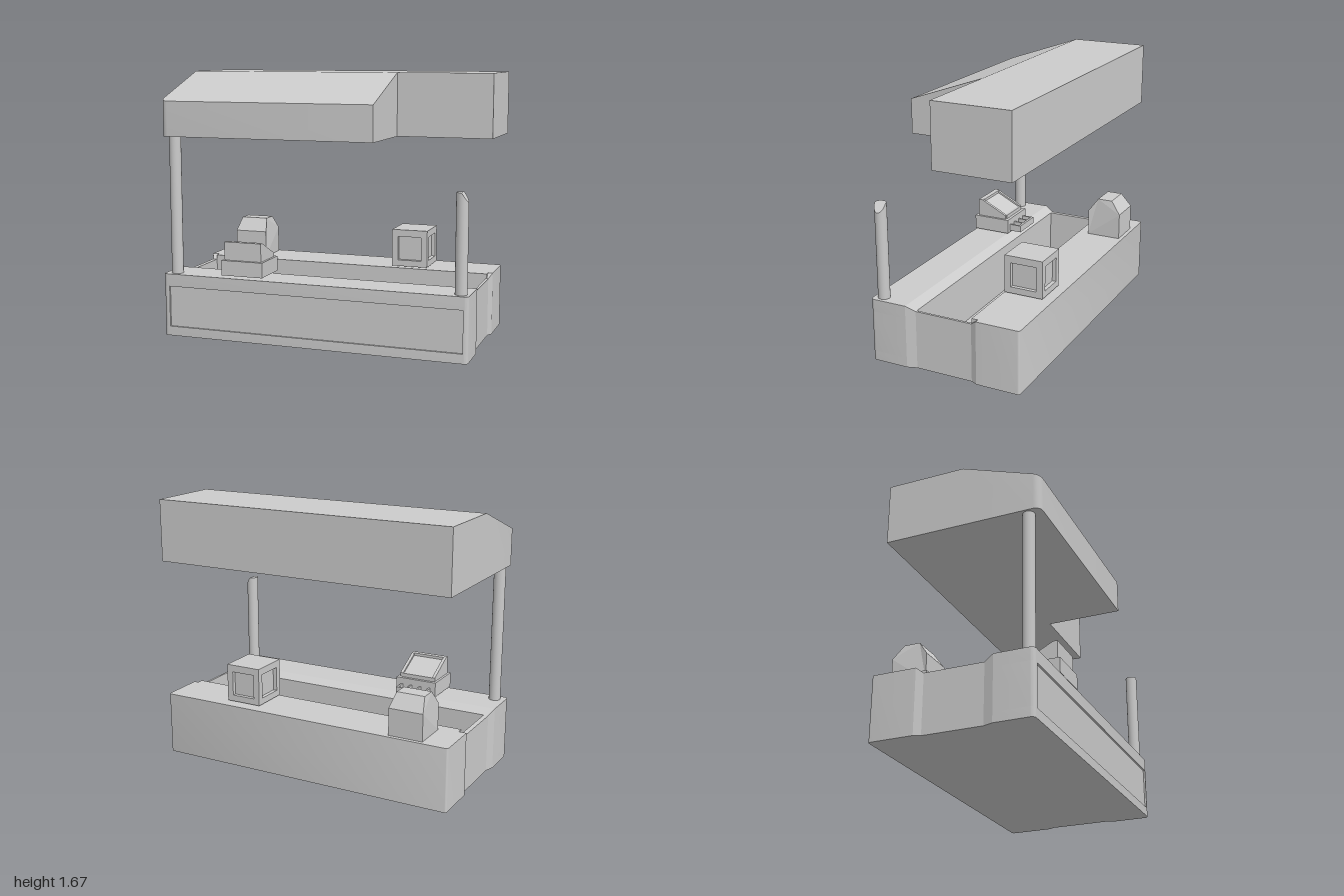
import * as THREE from 'three';
import { toCreasedNormals } from 'three/addons/utils/BufferGeometryUtils.js';

const material = new THREE.MeshStandardMaterial({ color: 0xcccccc });

function add(parent, name, geometry) {
  const mesh = new THREE.Mesh(geometry, material);
  mesh.name = name;
  parent.add(mesh);
  return mesh;
}

// Box given by its limits on each axis
function box(parent, name, x0, x1, y0, y1, z0, z1) {
  const g = new THREE.BoxGeometry(x1 - x0, y1 - y0, z1 - z0);
  g.translate((x0 + x1) / 2, (y0 + y1) / 2, (z0 + z1) / 2);
  return add(parent, name, g);
}

// Plan outline of [x, z] points raised from y0 to y1
function plan(points, y0, y1) {
  const shape = new THREE.Shape(points.map(([x, z]) => new THREE.Vector2(x, -z)));
  const g = new THREE.ExtrudeGeometry(shape, { depth: y1 - y0, bevelEnabled: false });
  return g.rotateX(-Math.PI / 2).translate(0, y0, 0);
}

// Side profile of [z, y] points swept from x0 to x1
function profile(points, x0, x1) {
  const shape = new THREE.Shape(points.map(([z, y]) => new THREE.Vector2(z, y)));
  const g = new THREE.ExtrudeGeometry(shape, { depth: x1 - x0, bevelEnabled: false });
  return g.rotateY(-Math.PI / 2).translate(x1, 0, 0);
}

// Points of a quarter circle, angles in quarter turns
function corner(x, z, r, quarter) {
  return Array.from({ length: 6 }, (_, i) => {
    const a = (quarter + i / 5) * Math.PI / 2;
    return [x + r * Math.cos(a), z + r * Math.sin(a)];
  });
}

// Move every vertex by a rule
function bend(g, rule) {
  const p = g.attributes.position;
  const v = new THREE.Vector3();
  for (let i = 0; i < p.count; i++) {
    v.fromBufferAttribute(p, i);
    rule(v);
    p.setXYZ(i, v.x, v.y, v.z);
  }
  g.computeVertexNormals();
  return g;
}

const smooth = (g) => toCreasedNormals(g, 0.6);

function buildCounter() {
  const counter = new THREE.Group();
  counter.name = 'counter';

  // Front counter in three layers, the middle one with a sunken panel
  const frontPlan = (inset) => [
    [-1, 0.24], [0.97, 0.24], ...corner(0.945, 0.455, 0.025, 0),
    ...(inset ? [[0.94, 0.48], [0.94, 0.468], [-0.96, 0.468], [-0.96, 0.48]] : []),
    ...corner(-0.975, 0.455, 0.025, 1),
  ];
  add(counter, 'frontBottom', smooth(plan(frontPlan(false), 0, 0.06)));
  add(counter, 'frontPanel', smooth(plan(frontPlan(true), 0.06, 0.32)));
  add(counter, 'frontTop', smooth(plan(frontPlan(false), 0.32, 0.4)));

  // Sloped inner edge, narrowing towards the recessed ends
  const narrow = (v) => { if (Math.abs(v.z) < 0.2) v.x += v.x > 0 ? -0.02 : 0.02; };
  add(counter, 'frontSlope', bend(
    profile([[0.24, 0], [0.24, 0.4], [0.18, 0.37], [0.18, 0]], -1, 0.97), narrow));

  // Back counter
  add(counter, 'backCounter', smooth(plan([
    [0.97, -0.23], [-1, -0.23], ...corner(-0.985, -0.495, 0.015, 2), ...corner(0.955, -0.495, 0.015, 3),
  ], 0, 0.4)));
  add(counter, 'backSlope', bend(
    profile([[-0.23, 0], [-0.23, 0.4], [-0.19, 0.37], [-0.19, 0]], -1, 0.97), narrow));
  box(counter, 'backLedge', -0.95, 0.94, 0.05, 0.4, -0.23, -0.189);

  // Low end walls and floor of the well
  box(counter, 'rightEnd', -0.98, -0.95, 0, 0.37, -0.19, 0.18);
  box(counter, 'leftEnd', 0.935, 0.95, 0, 0.37, -0.19, 0.18);
  box(counter, 'floor', -0.95, 0.935, 0, 0.05, -0.19, 0.18);
  return counter;
}

function buildRoof() {
  const roof = new THREE.Group();
  roof.name = 'roof';
  box(roof, 'roofBack', -0.98, 1, 1.275, 1.67, -0.48, 0.015);
  // Sloping front part with a rounded corner, cut short on the left
  const front = plan([[-0.98, 0.015], [0.4, 0.015], [0.4, 0.51], ...corner(-0.935, 0.465, 0.045, 1)], 1.275, 1.67);
  add(roof, 'roofFront', smooth(bend(front, (v) => {
    if (v.y > 1.5) v.y = 1.67 - (v.z - 0.015) * 0.354;
  })));
  return roof;
}

function buildCrate() {
  const crate = new THREE.Group();
  crate.name = 'crate';
  const [x0, x1, z0, z1] = [0.31, 0.545, -0.45, -0.2];
  box(crate, 'core', x0 + 0.025, x1 - 0.025, 0.43, 0.63, z0 + 0.025, z1 - 0.025);
  box(crate, 'base', x0, x1, 0.41, 0.45, z0, z1);
  box(crate, 'lid', x0, x1, 0.605, 0.65, z0, z1);
  for (const x of [x0, x1 - 0.04]) {
    for (const z of [z0, z1 - 0.04]) box(crate, 'cornerPost', x, x + 0.04, 0.45, 0.605, z, z + 0.04);
  }
  return crate;
}

function buildRegister() {
  const register = new THREE.Group();
  register.name = 'cashRegister';
  box(register, 'body', -0.6, -0.325, 0.415, 0.51, 0.22, 0.47);

  // Slanted keyboard housing with raised rims round a sunken face
  const slope = (drop) => [
    [0.45, 0.51], [0.45, 0.625 - drop], [0.425, 0.625 - drop], [0.245, 0.535 - drop], [0.245, 0.51],
  ];
  add(register, 'keyboard', profile(slope(0.012), -0.57, -0.355));
  for (const x of [-0.585, -0.36]) add(register, 'sideRim', profile(slope(0), x, x + 0.02));
  box(register, 'topRim', -0.57, -0.355, 0.6, 0.625, 0.415, 0.45);
  box(register, 'lowerRim', -0.57, -0.355, 0.51, 0.535, 0.24, 0.26);

  // Open cash drawer with dividers
  box(register, 'drawerFloor', -0.565, -0.36, 0.425, 0.435, 0.14, 0.22);
  box(register, 'drawerFront', -0.565, -0.36, 0.425, 0.47, 0.14, 0.155);
  for (const x of [-0.565, -0.5, -0.435, -0.372]) {
    box(register, 'drawerDivider', x, x + 0.012, 0.425, 0.47, 0.15, 0.22);
  }
  return register;
}

export function createModel() {
  const stall = new THREE.Group();
  stall.name = 'marketStall';
  stall.add(buildCounter(), buildRoof(), buildCrate(), buildRegister());

  // Whole post under the roof and a snapped one
  const post = (height) => new THREE.CylinderGeometry(0.037, 0.037, height, 24);
  add(stall, 'rightPost', post(0.9)).position.set(-0.93, 0.83, 0.42);
  const broken = post(0.6);
  broken.translate(0, 0.3, 0);
  const p = broken.attributes.position;
  for (let i = 0; i < p.count; i++) {
    if (p.getY(i) > 0.5) p.setY(i, 0.6 - Math.max(0, p.getX(i)) * 1.5);
  }
  add(stall, 'brokenPost', broken.toNonIndexed());
  stall.getObjectByName('brokenPost').position.set(0.913, 0.4, 0.42);

  // Hooded box with a tapered top
  add(stall, 'hoodedBox', bend(profile([
    [-0.485, 0.4], [-0.485, 0.57], [-0.42, 0.655], [-0.32, 0.655], [-0.26, 0.57], [-0.26, 0.4],
  ], -0.83, -0.61), (v) => { if (v.y > 0.6) v.x += v.x > -0.72 ? -0.02 : 0.02; }));

  return stall;
}
